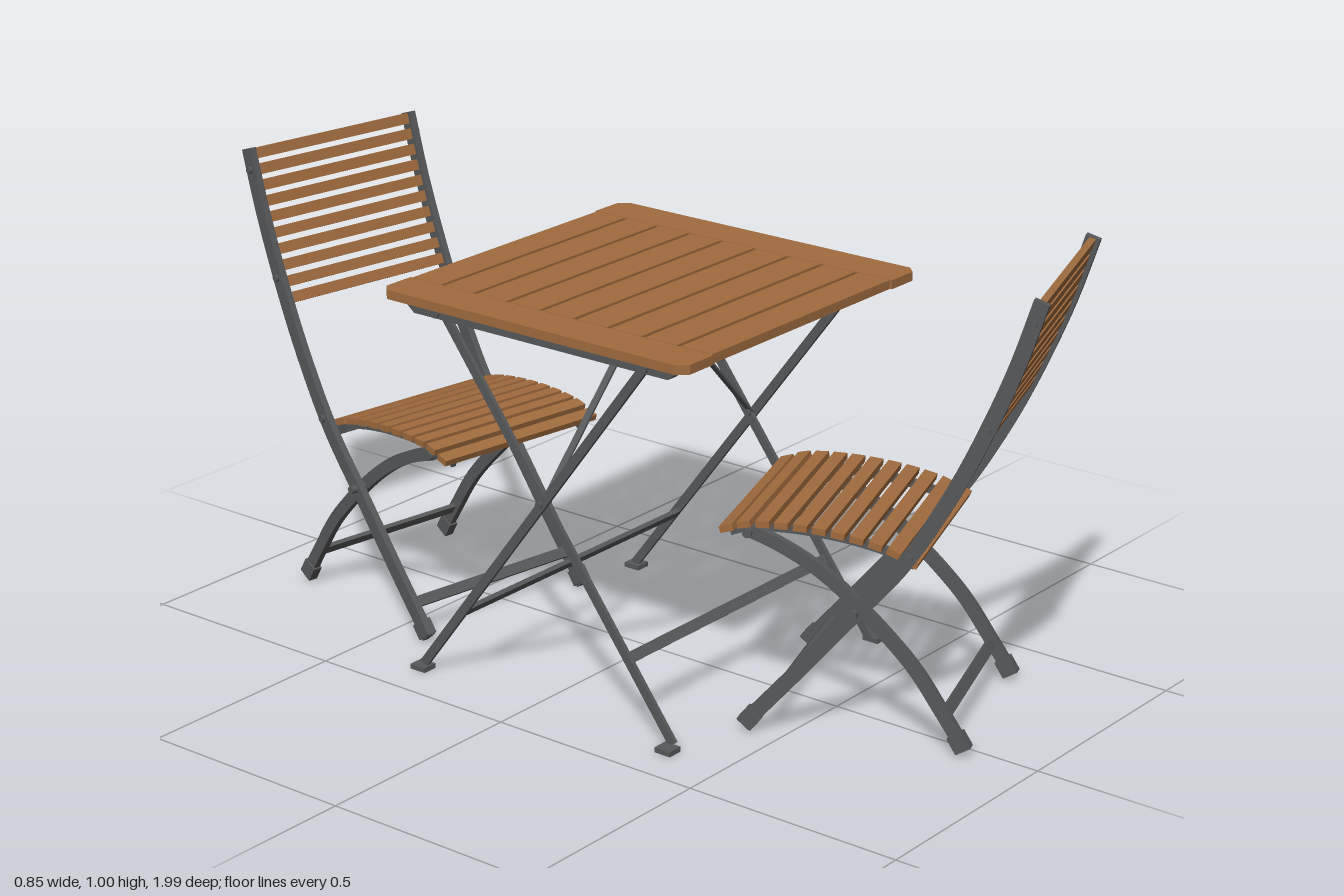
import * as THREE from 'three';

const wood = new THREE.MeshStandardMaterial({ color: 0xa06b3e });
wood.name = 'teak wood';
const metal = new THREE.MeshStandardMaterial({ color: 0x57585a });
metal.name = 'grey metal';

function add(parent, name, geometry, material, x = 0, y = 0, z = 0) {
  const mesh = new THREE.Mesh(geometry, material);
  mesh.name = name;
  mesh.position.set(x, y, z);
  parent.add(mesh);
  return mesh;
}

const box = (parent, name, material, size, pos) =>
  add(parent, name, new THREE.BoxGeometry(...size), material, ...pos);

const spline = (points) => new THREE.SplineCurve(points.map(([z, y]) => new THREE.Vector2(z, y)));

// Flat bar following a side-view curve (z, y), with a given width and thickness along x
function flatBar(parent, name, points, width, thickness, x, steps = 20) {
  const curve = spline(points);
  const near = [], far = [];
  for (let i = 0; i <= steps; i++) {
    const p = curve.getPointAt(i / steps);
    const t = curve.getTangentAt(i / steps);
    const n = new THREE.Vector2(-t.y, t.x).multiplyScalar(width / 2);
    near.push(p.clone().add(n));
    far.unshift(p.clone().sub(n));
  }
  const geometry = new THREE.ExtrudeGeometry(new THREE.Shape([...near, ...far]), {
    depth: thickness, bevelEnabled: false,
  });
  geometry.rotateY(-Math.PI / 2).translate(thickness / 2, 0, 0);
  return add(parent, name, geometry, metal, x);
}

// Bolt with its axis along x
function bolt(parent, x, y, z, length = 0.03, radius = 0.008) {
  const geometry = new THREE.CylinderGeometry(radius, radius, length, 10).rotateZ(Math.PI / 2);
  return add(parent, 'bolt', geometry, metal, x, y, z);
}

const STILE = [[0, 0.995], [0.05, 0.84], [0.12, 0.67], [0.19, 0.53], [0.27, 0.4],
  [0.38, 0.268], [0.49, 0.135], [0.595, 0.012]];
const FRONT_LEG = [[0.6, 0.437], [0.53, 0.412], [0.45, 0.37], [0.36, 0.3], [0.25, 0.19],
  [0.18, 0.09], [0.13, 0.012]];
const SEAT = [[0.25, 0.412], [0.31, 0.435], [0.4, 0.451], [0.5, 0.457], [0.59, 0.452], [0.64, 0.436]];

// Point and angle on a falling curve at a given height
function atHeight(curve, y) {
  let lo = 0, hi = 1;
  for (let i = 0; i < 30; i++) {
    const mid = (lo + hi) / 2;
    if (curve.getPointAt(mid).y > y) lo = mid; else hi = mid;
  }
  return { p: curve.getPointAt(lo), t: curve.getTangentAt(lo) };
}

// Folding chair: faces +z, top of its back at z = 0
function chair(name) {
  const g = new THREE.Group();
  g.name = name;
  const stile = spline(STILE), leg = spline(FRONT_LEG), seat = spline(SEAT);

  for (const s of [-1, 1]) {
    flatBar(g, 'backStile', STILE, 0.032, 0.016, s * 0.225, 32);
    flatBar(g, 'stileFoot', [[0.57, 0.042], [0.592, 0.014]], 0.038, 0.024, s * 0.225, 1);
    flatBar(g, 'frontLeg', FRONT_LEG, 0.028, 0.016, s * 0.2, 28);
    flatBar(g, 'legFoot', [[0.151, 0.045], [0.131, 0.012]], 0.036, 0.022, s * 0.2, 1);
    flatBar(g, 'seatRail', SEAT.map(([z, y]) => [z, y - 0.016]), 0.018, 0.012, s * 0.18);
    for (const y of [0.95, 0.72, 0.43]) {
      const { p } = atHeight(stile, y);
      bolt(g, s * 0.232, y, p.x, 0.016);
    }
    bolt(g, s * 0.218, 0.295, 0.36, 0.06, 0.009);
    bolt(g, s * 0.195, 0.432, 0.595, 0.045, 0.01);
  }

  // Back slats
  for (let i = 0; i < 10; i++) {
    const { p, t } = atHeight(stile, 0.982 - i * 0.0342);
    const slat = box(g, 'backSlat', wood, [0.434, 0.024, 0.014], [0, p.y, p.x]);
    slat.rotation.x = Math.atan2(-t.x, -t.y);
  }

  // Seat slats
  for (let i = 0; i < 11; i++) {
    const u = i / 10, p = seat.getPointAt(u), t = seat.getTangentAt(u);
    const slat = box(g, 'seatSlat', wood, [0.43, 0.014, 0.029], [0, p.y, p.x]);
    slat.rotation.x = -Math.atan2(t.y, t.x);
  }

  // Cross bars
  box(g, 'rearSeatBar', metal, [0.44, 0.024, 0.012], [0, 0.404, 0.267]);
  for (const [curve, y, width] of [[stile, 0.075, 0.44], [leg, 0.082, 0.39]]) {
    const { p, t } = atHeight(curve, y);
    const bar = box(g, 'crossBar', metal, [width, 0.024, 0.01], [0, y, p.x]);
    bar.rotation.x = Math.atan2(-t.x, -t.y);
  }
  return g;
}

// Folding table centred on its own origin
function table() {
  const g = new THREE.Group();
  g.name = 'table';
  const half = 0.4, top = 0.845, thick = 0.02;

  // End boards with clipped outer corners
  for (const s of [-1, 1]) {
    const c = 0.02, inner = 0.305;
    const pts = [[inner, -half], [half - c, -half], [half, -half + c], [half, half - c],
      [half - c, half], [inner, half]];
    const shape = new THREE.Shape(pts.map(([x, z]) => new THREE.Vector2(x * s, z)));
    const geometry = new THREE.ExtrudeGeometry(shape, { depth: thick, bevelEnabled: false });
    geometry.rotateX(-Math.PI / 2);
    add(g, 'endBoard', geometry, wood, 0, top - thick / 2, 0);
  }

  // Slats between the end boards
  const pitch = 0.8 / 9;
  for (let i = 0; i < 9; i++) {
    box(g, 'tableSlat', wood, [0.606, thick, pitch - 0.01], [0, top, (i - 4) * pitch]);
  }

  // Rails under the top, with sloping ends
  for (const x of [-0.355, 0, 0.355]) {
    const shape = new THREE.Shape([[-0.355, 0.835], [-0.355, 0.822], [-0.335, 0.806],
      [0.335, 0.806], [0.355, 0.822], [0.355, 0.835]].map((p) => new THREE.Vector2(...p)));
    const geometry = new THREE.ExtrudeGeometry(shape, { depth: 0.026, bevelEnabled: false });
    geometry.rotateY(-Math.PI / 2).translate(0.013, 0, 0);
    add(g, 'topRail', geometry, metal, x);
  }

  // Crossed legs, feet and stretchers
  for (const [dir, x] of [[1, 0.362], [-1, 0.347]]) {
    const zTop = dir * 0.275, zFoot = dir * -0.335;
    for (const s of [-1, 1]) {
      flatBar(g, 'tableLeg', [[zTop, 0.82], [zFoot, 0.01]], 0.02, 0.009, s * x, 1);
      box(g, 'tableFoot', metal, [0.036, 0.011, 0.04], [s * 0.366, 0.0055, zFoot]);
      bolt(g, s * 0.355, 0.818, zTop, 0.036, 0.011);
    }
    const k = 0.165 / 0.82;
    const bar = box(g, 'stretcher', metal, [2 * x, 0.024, 0.01], [0, 0.165, zFoot + (zTop - zFoot) * k]);
    bar.rotation.x = dir * 0.64;
  }

  // Pivots and the thin diagonal braces to the middle rail
  for (const s of [-1, 1]) {
    bolt(g, s * 0.355, 0.46, 0, 0.036);
    const dx = 0.34, dy = 0.355;
    const brace = box(g, 'brace', metal, [0.005, Math.hypot(dx, dy), 0.016],
      [s * (0.012 + dx / 2), 0.46 + dy / 2, 0]);
    brace.rotation.z = s * Math.atan2(dx, dy);
  }
  return g;
}

export function createModel() {
  const model = new THREE.Group();
  model.name = 'garden table and chairs';

  const t = table();
  t.position.set(-0.03, 0, 0.025);

  const front = chair('frontChair');
  front.position.set(0.2, 0, 0.9);
  front.rotation.y = Math.PI + 0.338;

  const back = chair('backChair');
  back.position.set(0.03, 0, -0.945);
  back.rotation.y = -0.157;

  model.add(t, front, back);
  return model;
}
